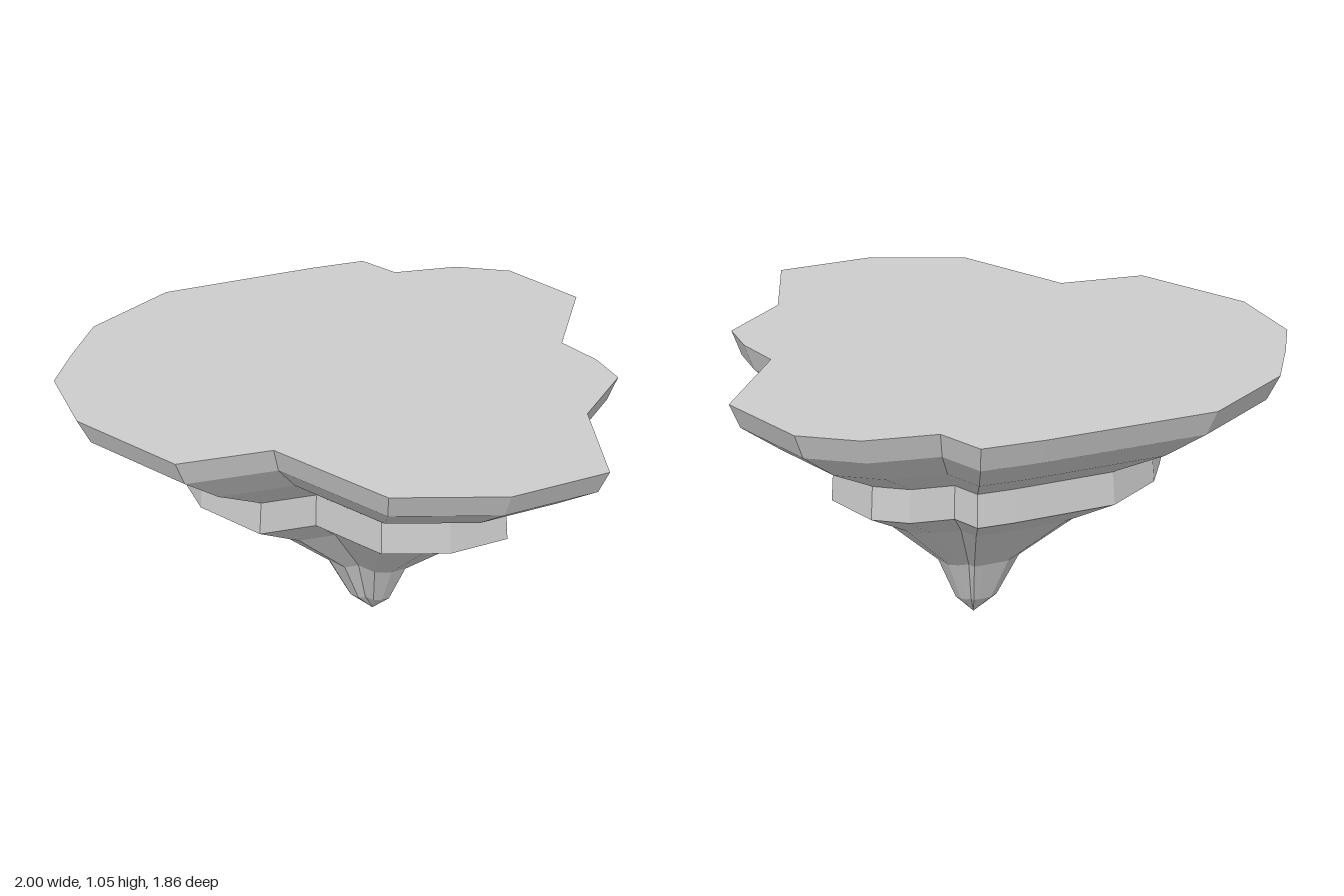
import * as THREE from 'three';

// Ragged rim of the floating island, as x, z pairs
const RIM = [
  [-0.4, -0.93], [0.19, -0.91], [0.4, -0.89], [0.47, -0.74], [0.71, -0.69],
  [0.885, -0.57], [1, -0.255], [0.76, 0.06], [0.805, 0.225], [0.805, 0.375],
  [0.575, 0.56], [0.445, 0.925], [0.09, 0.93], [-0.26, 0.78], [-0.475, 0.36],
  [-0.795, 0.315], [-1, -0.09], [-0.99, -0.4], [-0.88, -0.565], [-0.74, -0.755],
];
const TIP = [0.08, -0.085]; // the rim shrinks towards this axis
const TOP = 1.055;

const material = new THREE.MeshStandardMaterial({ color: 0xcccccc, flatShading: true });

// Rim shrunk about the tip axis, at a given height
function ring([y, scale]) {
  return RIM.map(([x, z]) => [
    TIP[0] + (x - TIP[0]) * scale, y, TIP[1] + (z - TIP[1]) * scale,
  ]);
}

// Faceted wall through a list of [height, scale] levels, from top to bottom
function wall(name, levels) {
  const positions = [];
  const rings = levels.map(ring);
  for (let l = 0; l < rings.length - 1; l++) {
    const upper = rings[l], lower = rings[l + 1];
    for (let i = 0; i < RIM.length; i++) {
      const j = (i + 1) % RIM.length;
      positions.push(...upper[i], ...upper[j], ...lower[i]);
      if (levels[l + 1][1] > 0) positions.push(...upper[j], ...lower[j], ...lower[i]);
    }
  }
  const geometry = new THREE.BufferGeometry();
  geometry.setAttribute('position', new THREE.Float32BufferAttribute(positions, 3));
  geometry.computeVertexNormals();
  const mesh = new THREE.Mesh(geometry, material);
  mesh.name = name;
  return mesh;
}

export function createModel() {
  const island = new THREE.Group();
  island.name = 'floatingIsland';

  // Flat ground on top
  const outline = new THREE.Shape(RIM.map(([x, z]) => new THREE.Vector2(x, -z)));
  const groundGeometry = new THREE.ShapeGeometry(outline).rotateX(-Math.PI / 2);
  const ground = new THREE.Mesh(groundGeometry, material);
  ground.name = 'groundTop';
  ground.position.y = TOP;
  island.add(ground);

  // Flared rock, steep ledge band, and the root tapering to a point
  island.add(
    wall('upperRock', [[TOP, 1], [0.965, 0.962], [0.85, 0.81], [0.735, 0.605]]),
    wall('ledgeBand', [[0.735, 0.605], [0.615, 0.616]]),
    wall('lowerRock', [[0.615, 0.616], [0.495, 0.415], [0.26, 0.162], [0.085, 0.083], [0, 0]]),
  );
  return island;
}
